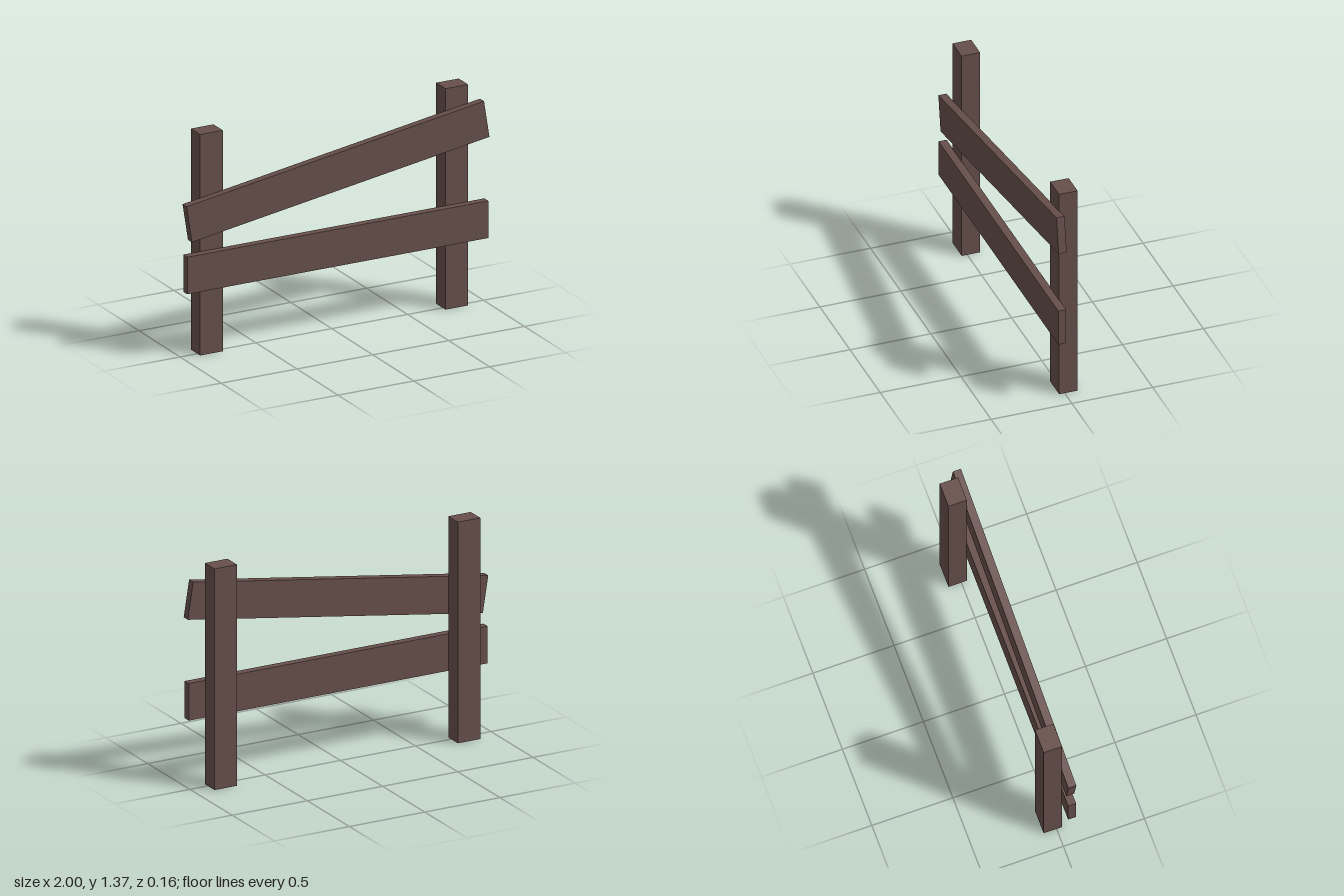
import * as THREE from 'three';

const brownWood = new THREE.MeshStandardMaterial({ color: 0x664f4a, side: THREE.DoubleSide });
brownWood.name = 'brownWood';

// Box mesh placed by its centre
function beam(name, size, centre, tilt = 0) {
  const mesh = new THREE.Mesh(new THREE.BoxGeometry(...size), brownWood);
  mesh.name = name;
  mesh.position.set(...centre);
  mesh.rotation.z = tilt;
  return mesh;
}

// Upright post with an open underside
function post(name, x) {
  const mesh = beam(name, [0.149, 1.365, 0.114], [x, 0.6825, -0.023]);
  const index = Array.from(mesh.geometry.index.array);
  index.splice(18, 6); // drop the bottom face
  mesh.geometry.setIndex(index);
  mesh.geometry.clearGroups();
  return mesh;
}

export function createModel() {
  const fence = new THREE.Group();
  fence.name = 'fence';

  // Posts
  fence.add(post('leftPost', 0.806), post('rightPost', -0.811));

  // Rails on the front: one level, one slipped at an angle
  fence.add(beam('lowerRail', [1.985, 0.229, 0.049], [-0.003, 0.527, 0.0555]));
  fence.add(beam('tiltedRail', [1.985, 0.229, 0.049], [-0.002, 0.995, 0.0555], 0.156));

  return fence;
}
